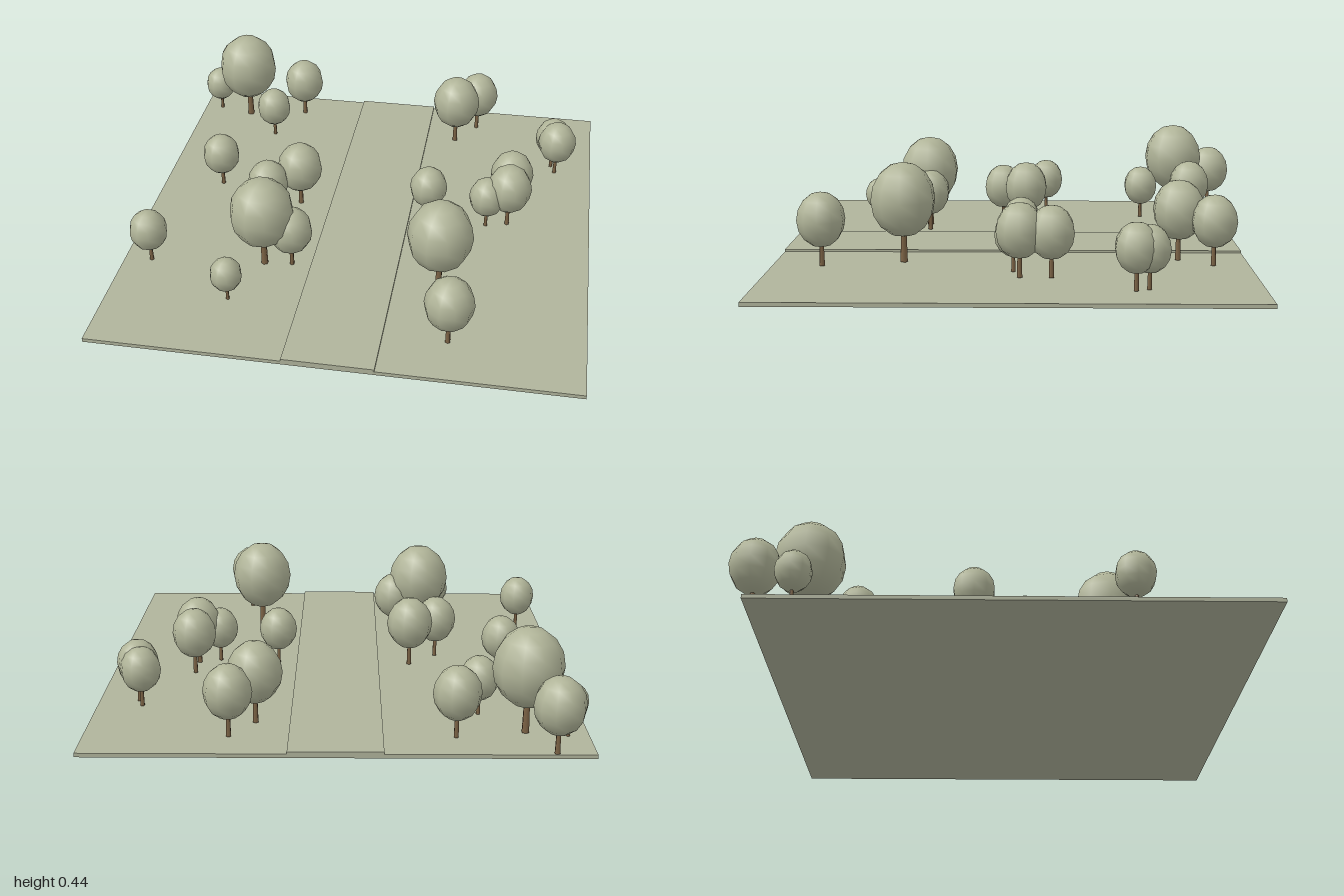
import * as THREE from 'three';

const material = (name, color) => {
  const m = new THREE.MeshStandardMaterial({ color });
  m.name = name;
  return m;
};

// x, z and crown radius of every tree
const TREES = [
  [-0.805, -0.903, 0.097], [-0.87, -0.75, 0.07], [-0.715, -0.717, 0.136],
  [-0.45, -0.765, 0.092], [-0.553, -0.548, 0.078], [-0.69, -0.1, 0.081],
  [-0.31, -0.007, 0.097], [-0.428, 0.1, 0.087], [-0.37, 0.437, 0.132],
  [-0.257, 0.427, 0.089], [-0.838, 0.49, 0.078], [-0.462, 0.686, 0.064],
  [0.402, -0.763, 0.093], [0.31, -0.632, 0.107], [0.772, -0.475, 0.08],
  [0.79, -0.425, 0.084], [0.256, 0.007, 0.08], [0.604, -0.115, 0.092],
  [0.6, 0.007, 0.095], [0.51, 0.033, 0.077], [0.356, 0.478, 0.132],
  [0.428, 0.797, 0.097],
];

export function createModel() {
  const park = new THREE.Group();
  park.name = 'park';
  const grass = material('grass', 0xb0b49c);
  const leaves = material('leaves', 0xb0b498);
  const bark = material('bark', 0x7d6446);

  const slab = (name, width, bottom, top) => {
    const mesh = new THREE.Mesh(new THREE.BoxGeometry(width, top - bottom, 1.91), grass);
    mesh.name = name;
    mesh.position.set(0, (bottom + top) / 2, 0.045);
    park.add(mesh);
  };
  slab('ground', 1.906, 0, 0.016);
  slab('path', 0.355, 0.016, 0.025);

  // Unit trees, scaled by the crown radius
  const crownShape = new THREE.SphereGeometry(1, 10, 8);
  crownShape.scale(1, 1.15, 1);
  crownShape.translate(0, 1.93, 0);
  const trunkShape = new THREE.CylinderGeometry(0.075, 0.11, 1.5, 6);
  trunkShape.translate(0, 0.74, 0);

  TREES.forEach(([x, z, radius]) => {
    const tree = new THREE.Group();
    tree.name = 'tree';
    const crown = new THREE.Mesh(crownShape, leaves);
    crown.name = 'crown';
    const trunk = new THREE.Mesh(trunkShape, bark);
    trunk.name = 'trunk';
    tree.add(crown, trunk);
    tree.position.set(x, 0.02, z);
    tree.scale.setScalar(radius);
    park.add(tree);
  });
  return park;
}
